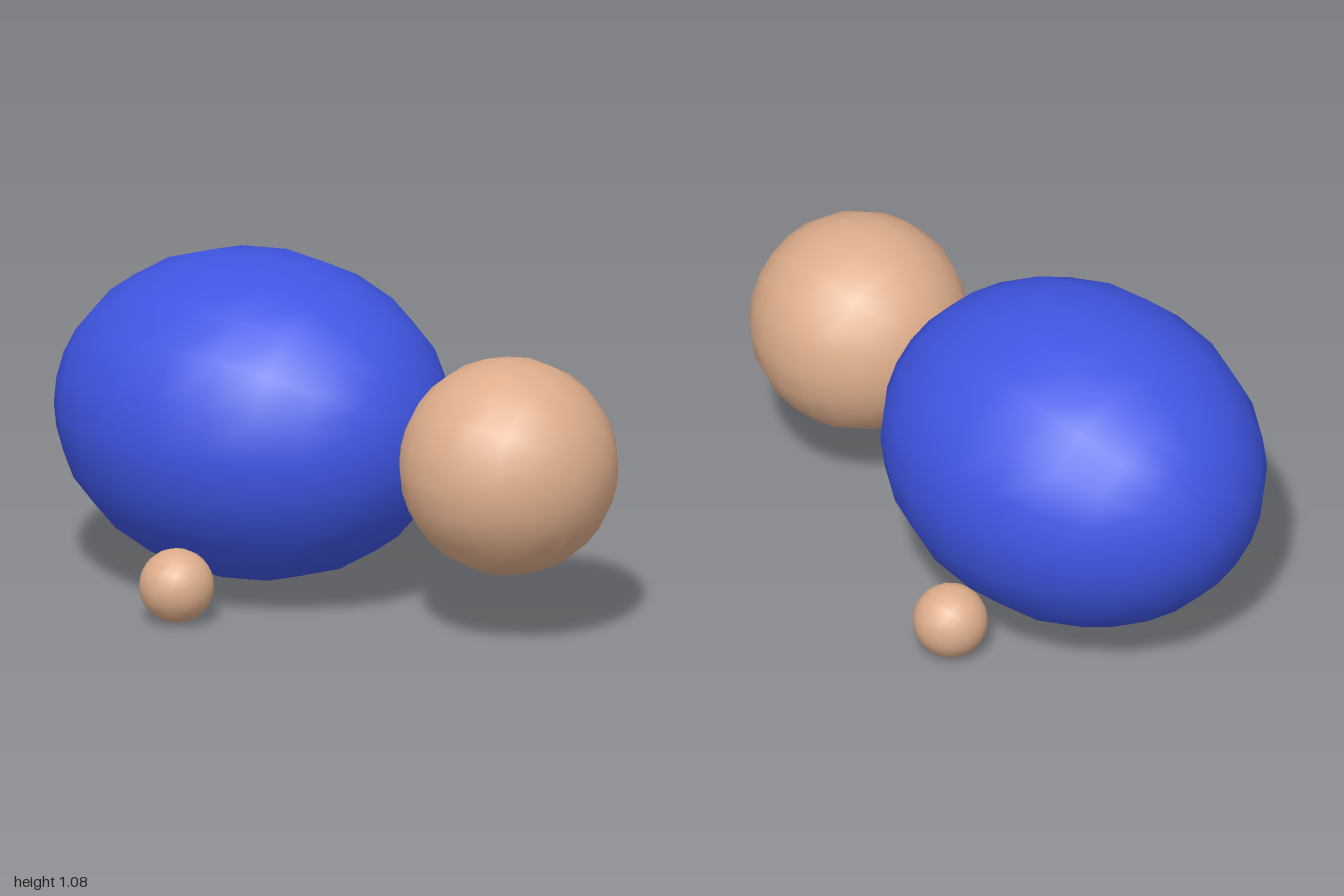
import * as THREE from 'three';

export function createModel() {
  const model = new THREE.Group();
  const blue = new THREE.MeshStandardMaterial({ color: 0x3f56e4 });
  const skin = new THREE.MeshStandardMaterial({ color: 0xdfae8c });

  // Unit ball with its poles along the z axis
  const ball = new THREE.SphereGeometry(1, 20, 12).rotateX(Math.PI / 2);

  function addBall(name, material, radii, position) {
    const mesh = new THREE.Mesh(ball, material);
    mesh.name = name;
    mesh.scale.set(...radii);
    mesh.position.set(...position);
    model.add(mesh);
  }

  // Egg-shaped body, with the head touching its front
  addBall('body', blue, [0.553, 0.521, 0.664], [0, 0.56, -0.334]);
  addBall('head', skin, [0.345, 0.345, 0.345], [0, 0.56, 0.655]);

  // Feet, mirrored left and right
  for (const [name, side] of [['leftFoot', 1], ['rightFoot', -1]]) {
    addBall(name, skin, [0.118, 0.118, 0.118], [side * 0.48, 0.12, -0.283]);
  }
  return model;
}
